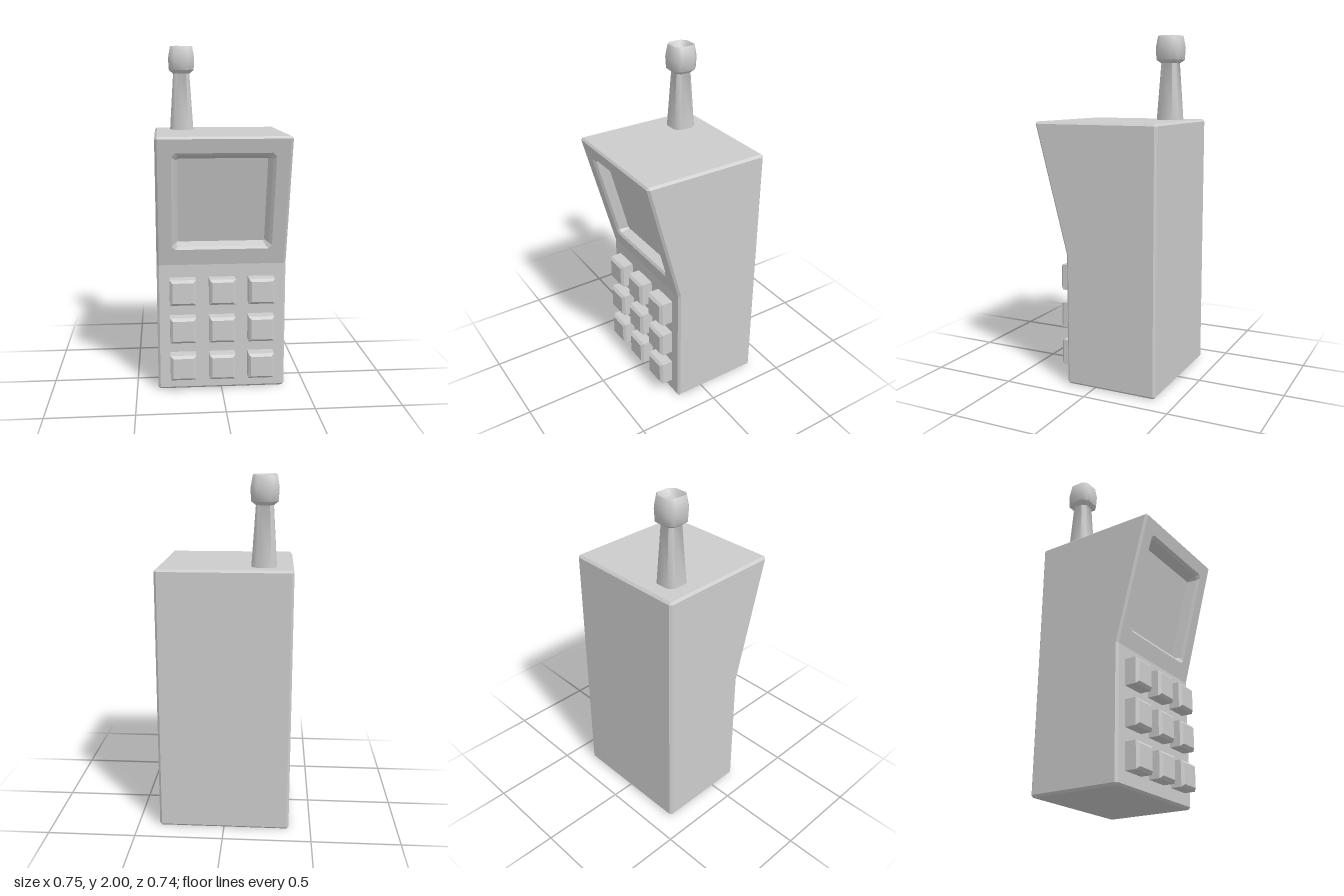
import * as THREE from 'three';
import { toCreasedNormals } from 'three/addons/utils/BufferGeometryUtils.js';

const V = (x, y, z) => new THREE.Vector3(x, y, z);

// Skin between closed rings of points; optional fan caps; skip(j, i) leaves a quad out
function loft(rings, { startCap = false, endCap = false, skip = () => false } = {}) {
  const pos = [];
  const tri = (a, b, c) => {
    const area = b.clone().sub(a).cross(c.clone().sub(a)).length();
    if (area > 1e-9) for (const p of [a, b, c]) pos.push(p.x, p.y, p.z);
  };
  const n = rings[0].length;
  for (let j = 0; j < rings.length - 1; j++) {
    for (let i = 0; i < n; i++) {
      if (skip(j, i)) continue;
      const k = (i + 1) % n, r = rings[j], s = rings[j + 1];
      tri(r[i], s[i], s[k]);
      tri(r[i], s[k], r[k]);
    }
  }
  const first = rings[0], last = rings[rings.length - 1];
  for (let i = 1; i < n - 1; i++) {
    if (startCap) tri(first[0], first[i], first[i + 1]);
    if (endCap) tri(last[0], last[i + 1], last[i]);
  }
  const geo = new THREE.BufferGeometry();
  geo.setAttribute('position', new THREE.Float32BufferAttribute(pos, 3));
  geo.computeVertexNormals();
  return geo;
}

// Clockwise rectangle with cut corners, mapped into space by place(a, b)
function cutRect(w, h, c, place) {
  return [
    [-w + c, h], [w - c, h], [w, h - c], [w, -h + c],
    [w - c, -h], [-w + c, -h], [-w, -h + c], [-w, h - c],
  ].map(([a, b]) => place(a, b));
}

// Side profile as [z, y], starting at the bend in the front
const PROFILE = [[0.175, 0.76], [0.372, 1.51], [-0.375, 1.51], [-0.375, 0], [0.175, 0]]
  .map(([z, y]) => new THREE.Vector2(z, y));
const BEVEL = 0.013;
const HALF = 0.375;

// Outer outline with cut corners, and the inset outline of the side faces
function outlines() {
  const outer = [], inner = [];
  PROFILE.forEach((p, i) => {
    const n = PROFILE.length;
    const d1 = p.clone().sub(PROFILE[(i + n - 1) % n]).normalize();
    const d2 = PROFILE[(i + 1) % n].clone().sub(p).normalize();
    const n1 = new THREE.Vector2(-d1.y, d1.x), n2 = new THREE.Vector2(-d2.y, d2.x);
    const inset = p.clone().addScaledVector(n1.clone().add(n2), BEVEL / (1 + n1.dot(n2)));
    if (i === 0) {
      outer.push(p);
      inner.push(inset);
    } else {
      outer.push(p.clone().addScaledVector(d1, -BEVEL), p.clone().addScaledVector(d2, BEVEL));
      inner.push(inset, inset);
    }
  });
  return { outer, inner };
}

export function createModel() {
  const group = new THREE.Group();
  const grey = new THREE.MeshStandardMaterial({ color: 0xcccccc });
  grey.name = 'grey plastic';
  const add = (name, geo, parent = group) => {
    const mesh = new THREE.Mesh(geo, grey);
    mesh.name = name;
    parent.add(mesh);
    return mesh;
  };

  // Bevelled case, open where the sloping screen panel sits
  const { outer, inner } = outlines();
  const at = (pts, x) => pts.map((p) => V(x, p.y, p.x));
  add('case', loft([
    at(inner, -HALF), at(outer, -HALF + BEVEL), at(outer, HALF - BEVEL), at(inner, HALF),
  ], { startCap: true, endCap: true, skip: (j, i) => j === 1 && i === 0 }));

  // Sloping panel with the sunken screen
  const low = outer[0], high = outer[1];
  const slope = (high.x - low.x) / (high.y - low.y);
  const onPanel = (cy, depth) => (x, b) =>
    V(x, cy + b, low.x + (cy + b - low.y) * slope - depth);
  const midY = (low.y + high.y) / 2;
  add('screenPanel', loft([
    cutRect(HALF - BEVEL, (high.y - low.y) / 2, 0, onPanel(midY, 0)),
    cutRect(0.287, 0.283, 0.02, onPanel(1.137, 0)),
    cutRect(0.27, 0.267, 0.018, onPanel(1.137, 0.013)),
    cutRect(0.25, 0.247, 0.006, onPanel(1.137, 0.07)),
  ], { endCap: true }));

  // Keypad: three by three bevelled keys
  const keypad = new THREE.Group();
  keypad.name = 'keypad';
  group.add(keypad);
  const key = (w, z) => cutRect(w, w, 0, (x, y) => V(x, y, z));
  const keyGeo = loft([key(0.075, 0.17), key(0.075, 0.24), key(0.06, 0.255)], { endCap: true });
  for (let row = 0; row < 3; row++) {
    for (let col = -1; col <= 1; col++) {
      add('key', keyGeo, keypad).position.set(col * 0.227, 0.157 + row * 0.227, 0);
    }
  }

  // Tapered antenna with a dished tip: [height, half width]
  const rings = [
    [1.5, 0.07], [1.84, 0.048], [1.86, 0.073], [1.93, 0.077],
    [1.995, 0.066], [2.0, 0.062], [1.99, 0.054], [1.965, 0.04],
  ].map(([y, w]) => cutRect(w, w, w * 0.42, (x, b) => V(x, y, -b)));
  add('antenna', toCreasedNormals(loft(rings, { endCap: true }), 1.0))
    .position.set(-0.212, 0, -0.212);

  return group;
}
